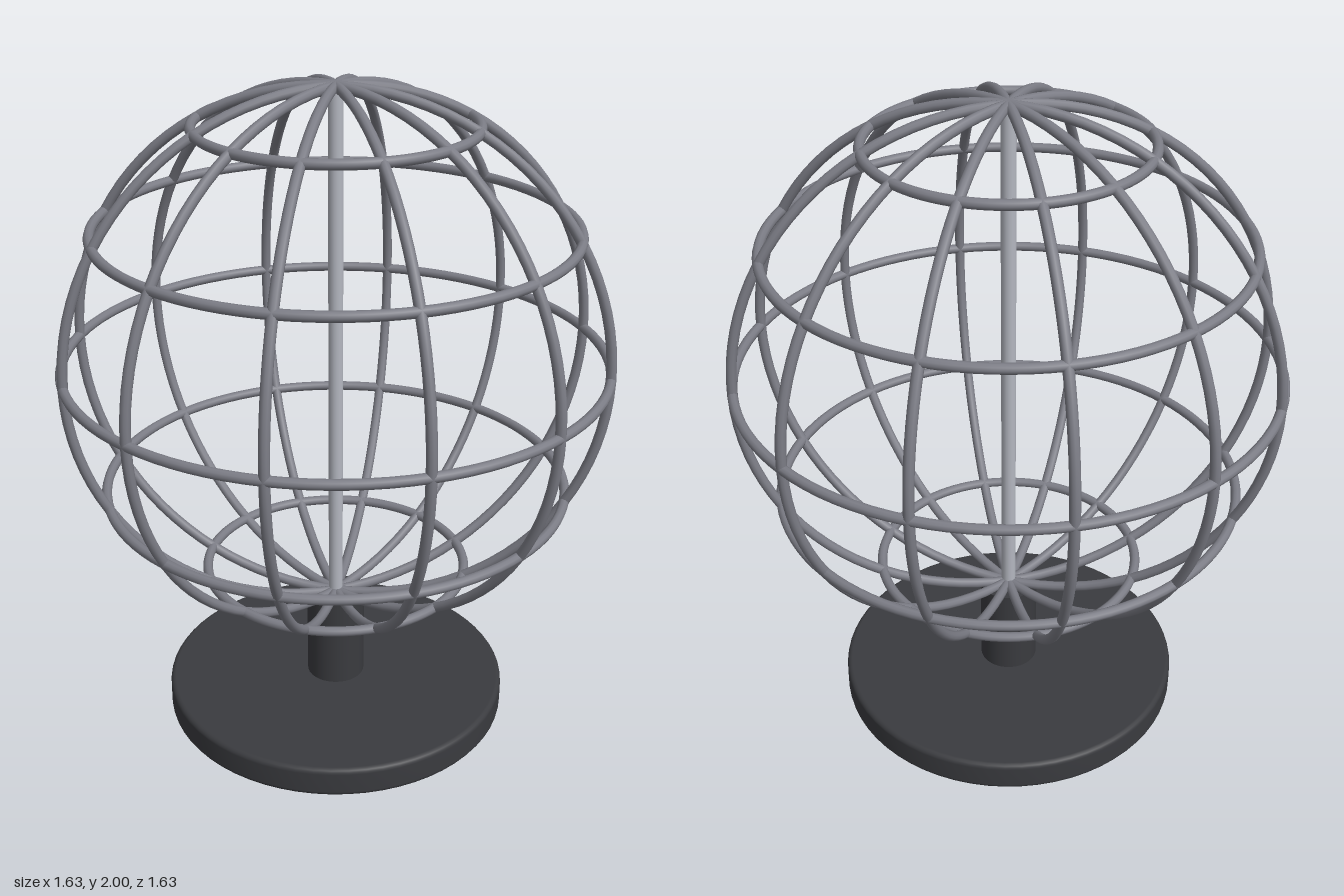
import * as THREE from 'three';

const CENTER = 1.185, RADIUS = 0.8, WIRE = 0.015;

export function createModel() {
  const model = new THREE.Group();
  model.name = 'wireGlobe';
  const dark = new THREE.MeshStandardMaterial({ color: 0x3a3b3f });
  const wire = new THREE.MeshStandardMaterial({ color: 0x7c7d86 });
  const steel = new THREE.MeshStandardMaterial({ color: 0xb4b7c0 });

  const add = (name, geometry, material, y, parent = model) => {
    const mesh = new THREE.Mesh(geometry, material);
    mesh.name = name;
    mesh.position.y = y;
    parent.add(mesh);
    return mesh;
  };

  // Round foot with softened rims
  const r = 0.533, h = 0.095, b = 0.016;
  const profile = [new THREE.Vector2(0, 0), new THREE.Vector2(r - b, 0)];
  for (const [cy, start] of [[b, -Math.PI / 2], [h - b, 0]]) {
    for (let i = 0; i <= 4; i++) {
      const a = start + (i / 4) * Math.PI / 2;
      profile.push(new THREE.Vector2(r - b + b * Math.cos(a), cy + b * Math.sin(a)));
    }
  }
  profile.push(new THREE.Vector2(0, h));
  add('base', new THREE.LatheGeometry(profile, 64), dark, 0);

  // Post and the axis running from pole to pole
  add('post', new THREE.CylinderGeometry(0.09, 0.09, 0.295, 32), dark, 0.2375);
  add('axisRod', new THREE.CylinderGeometry(0.022, 0.022, 2 * RADIUS, 16), steel, CENTER);

  // Vertical hoops, every 30 degrees
  const meridians = new THREE.Group();
  meridians.name = 'meridians';
  model.add(meridians);
  for (let i = 0; i < 6; i++) {
    const hoop = add('meridian', new THREE.TorusGeometry(RADIUS, WIRE, 10, 96), wire, CENTER, meridians);
    hoop.rotation.y = i * Math.PI / 6;
  }

  // Horizontal hoops, from 60 degrees south to 60 degrees north
  const parallels = new THREE.Group();
  parallels.name = 'parallels';
  model.add(parallels);
  for (let i = -2; i <= 2; i++) {
    const a = i * Math.PI / 6;
    const hoop = add('parallel', new THREE.TorusGeometry(RADIUS * Math.cos(a), WIRE, 10, 96), wire,
      CENTER + RADIUS * Math.sin(a), parallels);
    hoop.rotation.x = Math.PI / 2;
  }
  return model;
}
